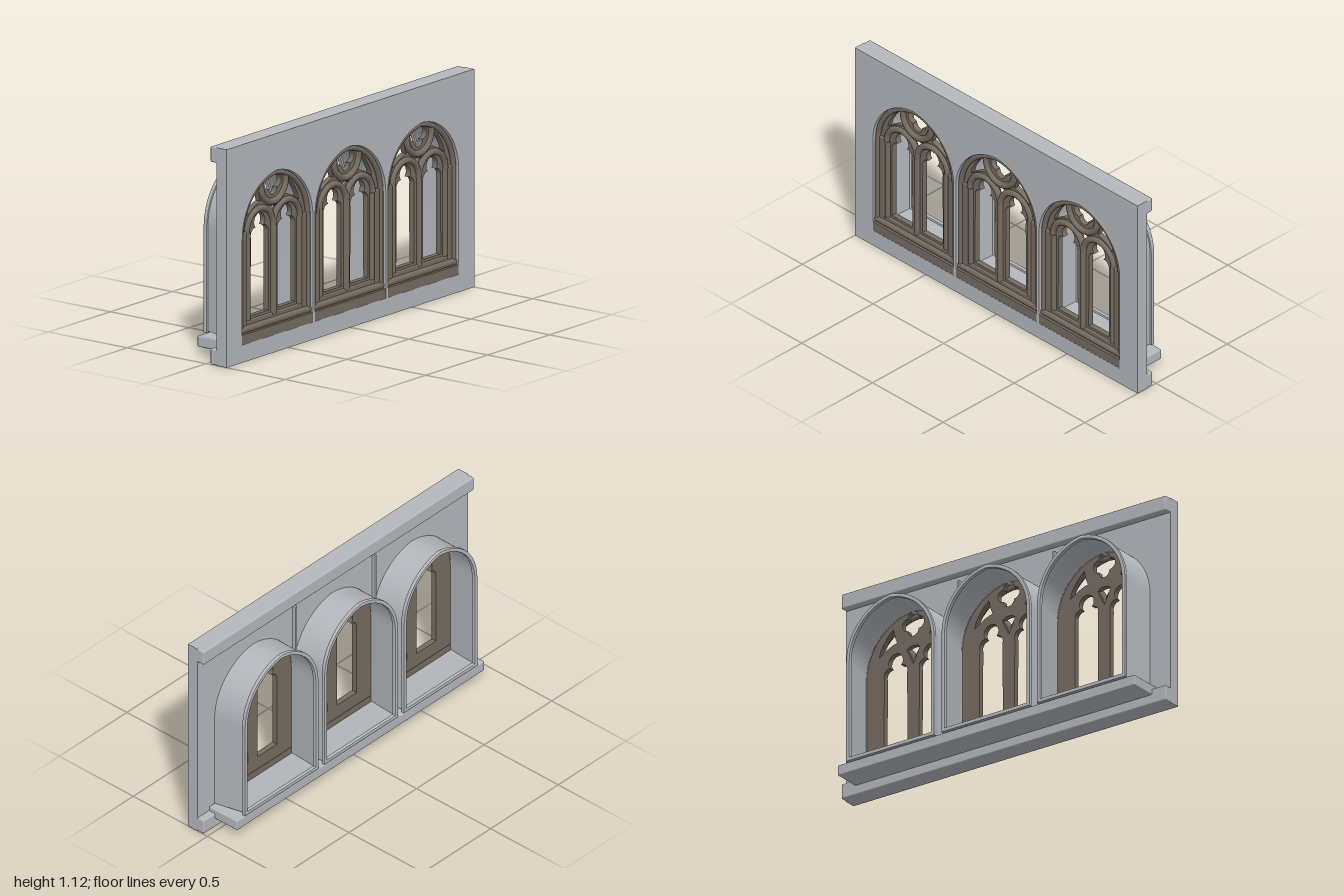
import * as THREE from 'three';
import { toCreasedNormals } from 'three/addons/utils/BufferGeometryUtils.js';
import { RoundedBoxGeometry } from 'three/addons/geometries/RoundedBoxGeometry.js';

const paleStone = new THREE.MeshStandardMaterial({ color: 0xb4b8bd, name: 'paleStone' });
const paleShell = new THREE.MeshStandardMaterial({ color: 0xb4b8bd, name: 'paleStoneShell', side: THREE.DoubleSide });
const brownStone = new THREE.MeshStandardMaterial({ color: 0x766c61, name: 'brownStone' });

const SPACING = 0.588;
const V = (x, y) => new THREE.Vector2(x, y);

function add(parent, name, geometry, material, x = 0, y = 0, z = 0) {
  const mesh = new THREE.Mesh(geometry, material);
  mesh.name = name;
  mesh.position.set(x, y, z);
  parent.add(mesh);
  return mesh;
}

// box given by its limits, with softened edges when r > 0
function block(parent, name, material, [x0, x1], [y0, y1], [z0, z1], r = 0) {
  const s = [x1 - x0, y1 - y0, z1 - z0];
  const g = r ? new RoundedBoxGeometry(...s, 3, r) : new THREE.BoxGeometry(...s);
  return add(parent, name, g, material, (x0 + x1) / 2, (y0 + y1) / 2, (z0 + z1) / 2);
}

// slightly pointed arch outline made of two arcs
function archPoints(w, bottom, spring, top, n = 20) {
  const h = top - spring, d = (h * h - w * w) / (2 * w), r = w + d;
  const end = Math.acos(d / r);
  const right = [];
  for (let i = 0; i <= n; i++) {
    const a = (end * i) / n;
    right.push(V(-d + r * Math.cos(a), spring + r * Math.sin(a)));
  }
  const left = right.slice(0, n).reverse().map(p => V(-p.x, p.y));
  return [V(-w, bottom), V(w, bottom), ...right, ...left];
}

function extrude(outline, holes, depth, bevel = 0) {
  const shape = new THREE.Shape(outline);
  shape.holes = holes.map(h => new THREE.Path(h));
  const g = new THREE.ExtrudeGeometry(shape, {
    depth, bevelEnabled: bevel > 0, bevelSize: bevel, bevelThickness: bevel,
    bevelOffset: -bevel, bevelSegments: 2
  });
  return toCreasedNormals(g, 0.6);
}

// lancet light with a three-lobed head
function lancet(cx) {
  const pts = [V(cx - 0.072, 0.214), V(cx + 0.072, 0.214)];
  const head = [];
  for (let i = 0; i <= 6; i++) {
    const a = -0.3 + (i / 6) * 1.9;
    head.push(V(0.034 + 0.038 * Math.cos(a), 0.625 + 0.038 * Math.sin(a)));
  }
  for (let i = 0; i <= 8; i++) {
    const a = -0.35 + (i / 8) * (Math.PI / 2 + 0.35);
    head.push(V(0.044 * Math.cos(a), 0.689 + 0.044 * Math.sin(a)));
  }
  pts.push(...head.map(p => V(cx + p.x, p.y)));
  pts.push(...head.slice(0, -1).reverse().map(p => V(cx - p.x, p.y)));
  return pts;
}

function quatrefoil(cy) {
  const pts = [], r = 0.033, d = 0.034;
  for (let i = 0; i < 64; i++) {
    const a = (i / 64) * Math.PI * 2;
    const phi = a - Math.round(a / (Math.PI / 2)) * (Math.PI / 2);
    const rho = d * Math.cos(phi) + Math.sqrt(r * r - (d * Math.sin(phi)) ** 2);
    pts.push(V(rho * Math.cos(a), cy + rho * Math.sin(a)));
  }
  return pts;
}

function tracery() {
  const g = new THREE.Group();
  g.name = 'tracery';
  const spandrel = [[0.21, 0.735], [0.2, 0.77], [0.18, 0.805], [0.155, 0.838], [0.122, 0.868], [0.117, 0.84],
    [0.108, 0.812], [0.1, 0.79], [0.125, 0.783], [0.155, 0.77], [0.185, 0.752]];
  const eye = [[0, 0.65], [0.018, 0.685], [0.04, 0.735], [0.02, 0.748], [0, 0.751], [-0.02, 0.748], [-0.04, 0.735], [-0.018, 0.685]];
  const holes = [lancet(-0.108), lancet(0.108), quatrefoil(0.87), eye.map(p => V(...p)),
    spandrel.map(p => V(...p)), spandrel.map(([x, y]) => V(-x, y)).reverse()];
  add(g, 'traceryPlate', extrude(archPoints(0.291, 0.1, 0.63, 0.98), holes, 0.03), brownStone, 0, 0, 0.07);

  // round eye ring
  add(g, 'eyeRing', new THREE.TorusGeometry(0.1, 0.018, 10, 48), brownStone, 0, 0.87, 0.1);

  // lancet hoods and the shafts under them
  for (const s of [-1, 1]) {
    add(g, 'lancetHood', new THREE.TorusGeometry(0.106, 0.017, 10, 28, Math.PI), brownStone, s * 0.108, 0.65, 0.1);
    add(g, 'jambShaft', new THREE.CylinderGeometry(0.016, 0.016, 0.45, 12), brownStone, s * 0.208, 0.425, 0.1);
    const x = [0.222, 0.262].map(v => v * s).sort((a, b) => a - b);
    block(g, 'jambStep', brownStone, x, [0.14, 0.66], [0.07, 0.112], 0.008);
  }
  add(g, 'mullionShaft', new THREE.CylinderGeometry(0.018, 0.018, 0.46, 12), brownStone, 0, 0.42, 0.1);

  // roll following the main arch
  const path = new THREE.CurvePath();
  const line = archPoints(0.271, 0.15, 0.63, 0.921).slice(1).map(p => new THREE.Vector3(p.x, p.y, 0));
  line.push(new THREE.Vector3(-0.271, 0.15, 0));
  for (let i = 1; i < line.length; i++) path.add(new THREE.LineCurve3(line[i - 1], line[i]));
  add(g, 'archRoll', new THREE.TubeGeometry(path, 90, 0.014, 8), brownStone, 0, 0, 0.108);

  // stepped sill
  block(g, 'sill', brownStone, [-0.289, 0.289], [0.09, 0.14], [0.068, 0.129]);
  const roll = add(g, 'sillRoll', new THREE.CylinderGeometry(0.02, 0.02, 0.56, 14), brownStone, 0, 0.158, 0.105);
  roll.rotation.z = Math.PI / 2;
  block(g, 'sillStep', brownStone, [-0.225, 0.225], [0.17, 0.2], [0.07, 0.11], 0.006);
  return g;
}

// thin lining lofted from the wall to the rear rim
function lining() {
  const front = archPoints(0.287, 0.105, 0.63, 0.936);
  const back = archPoints(0.262, 0.12, 0.655, 0.952);
  const pos = [], index = [], n = front.length;
  front.forEach(p => pos.push(p.x, p.y, 0.066));
  back.forEach(p => pos.push(p.x, p.y, -0.112));
  for (let i = 0; i < n; i++) {
    const j = (i + 1) % n;
    index.push(i, j, n + i, j, n + j, n + i);
  }
  const g = new THREE.BufferGeometry();
  g.setAttribute('position', new THREE.Float32BufferAttribute(pos, 3));
  g.setIndex(index.reverse());
  return toCreasedNormals(g, 0.6);
}

export function createModel() {
  const model = new THREE.Group();
  model.name = 'arcadeWall';

  // wall with three arched openings
  const centres = [-SPACING, 0, SPACING];
  const openings = centres.map(c => archPoints(0.286, 0.09, 0.63, 0.936).map(p => V(p.x + c, p.y)));
  add(model, 'wall', extrude([V(-1, 0), V(1, 0), V(1, 1.125), V(-1, 1.125)], openings, 0.065), paleStone, 0, 0, 0.065);

  // rear cornice, plinth and ledge
  block(model, 'cornice', paleStone, [-1, 1], [1.045, 1.125], [0.025, 0.085], 0.008);
  block(model, 'plinth', paleStone, [-1, 1], [0, 0.082], [0.025, 0.085], 0.008);
  block(model, 'ledge', paleStone, [-0.915, 0.915], [0.05, 0.106], [-0.123, 0.066], 0.006);

  // slim rear ribs between the openings
  for (const s of [-1, 1]) {
    block(model, 'rib', paleStone, [s * 0.294 - 0.006, s * 0.294 + 0.006], [0.1, 1.015], [0.043, 0.067]);
  }

  // one window per opening
  for (const c of centres) {
    const bay = new THREE.Group();
    bay.name = 'windowBay';
    bay.position.x = c;
    bay.add(tracery());
    add(bay, 'lining', lining(), paleShell);
    const rim = extrude(archPoints(0.272, 0.11, 0.655, 0.96), [archPoints(0.251, 0.131, 0.655, 0.939)], 0.012, 0.005);
    add(bay, 'rearRim', rim, paleStone, 0, 0, -0.123);
    add(bay, 'rimBead', new THREE.SphereGeometry(0.011, 10, 8), paleStone, 0, 0.951, -0.117);
    model.add(bay);
  }
  return model;
}
